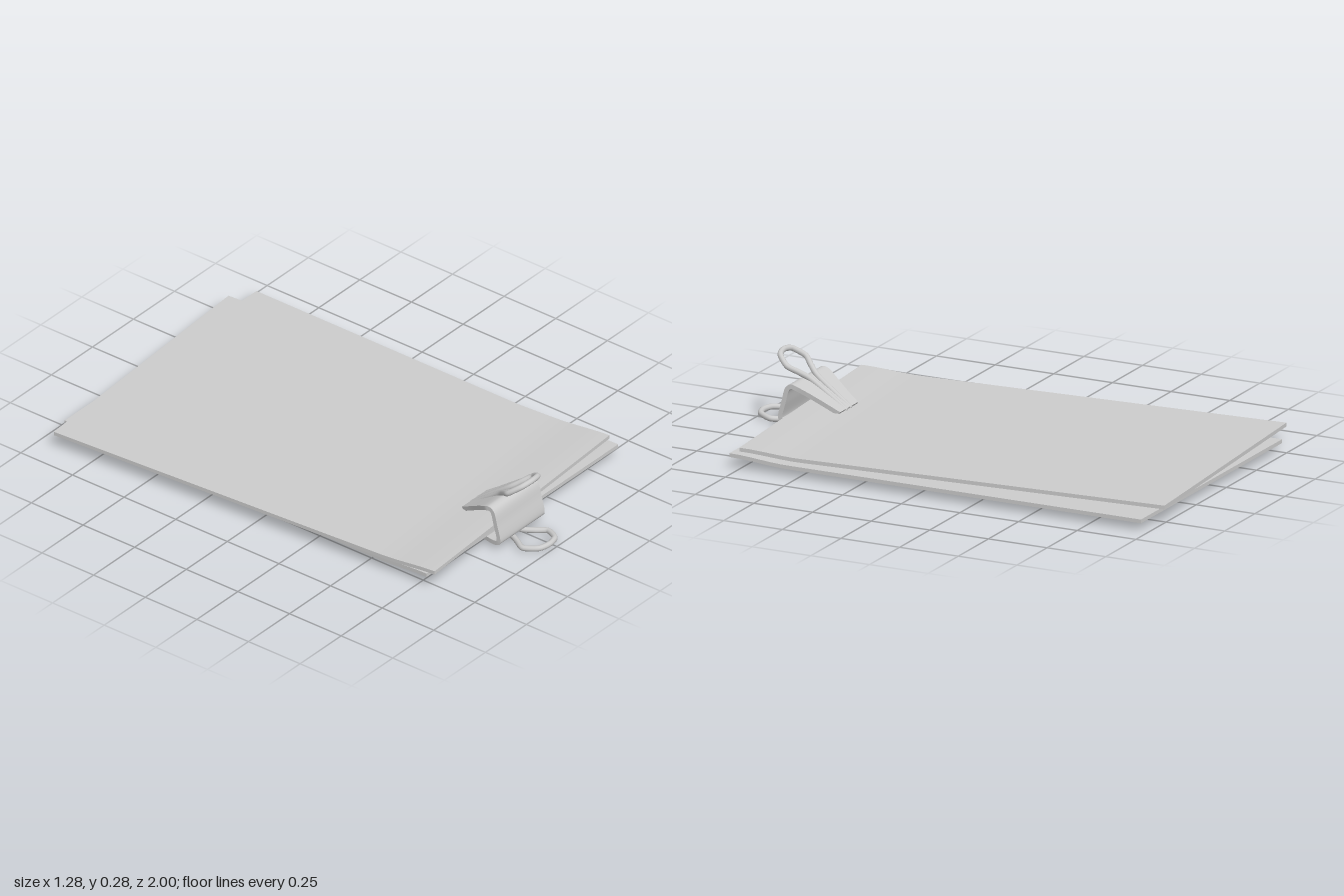
import * as THREE from 'three';

const material = new THREE.MeshStandardMaterial({ color: 0xcccccc });
const CLIP_X = -0.03;

function addMesh(parent, name, geometry) {
  const mesh = new THREE.Mesh(geometry, material);
  mesh.name = name;
  parent.add(mesh);
  return mesh;
}

// Flat board whose front end lifts gently towards the clip
function sheet(width, length, thickness, lift) {
  const geo = new THREE.BoxGeometry(width, thickness, length, 1, 1, 40);
  const pos = geo.attributes.position;
  for (let i = 0; i < pos.count; i++) {
    const t = THREE.MathUtils.smoothstep(pos.getZ(i), length / 2 - 0.25, length / 2);
    pos.setY(i, pos.getY(i) + lift * t);
  }
  geo.computeVertexNormals();
  return geo;
}

// Bent spring plate: a box swept along a side profile of (half width, y, z)
function springPlate(profile, thickness) {
  const curve = new THREE.CatmullRomCurve3(
    profile.map(p => new THREE.Vector3(...p)), false, 'centripetal');
  const geo = new THREE.BoxGeometry(2, thickness, 1, 1, 1, 64);
  const pos = geo.attributes.position;
  for (let i = 0; i < pos.count; i++) {
    const s = THREE.MathUtils.clamp(pos.getZ(i) + 0.5, 0, 1);
    const p = curve.getPoint(s);
    const t = curve.getTangent(s);
    const k = pos.getY(i) / Math.hypot(t.y, t.z);
    pos.setXYZ(i, pos.getX(i) * p.x, p.y + k * t.z, p.z - k * t.y);
  }
  geo.computeVertexNormals();
  return geo;
}

// Wire handle outline: [half width, fraction of the length]
const HANDLE = [[0.018, 0], [0.02, 0.25], [0.028, 0.53], [0.05, 0.66], [0.077, 0.79],
  [0.074, 0.84], [0.052, 0.95], [0.04, 0.975], [0, 1]];

// Wire bent along the outline, laid over a line from start to end ([y, z]) with a sag
function wireHandle(start, end, sag) {
  const place = ([hw, f], side) => new THREE.Vector3(
    side * hw,
    THREE.MathUtils.lerp(start[0], end[0], f) - sag * Math.sin(Math.PI * f),
    THREE.MathUtils.lerp(start[1], end[1], f));
  const points = [
    ...HANDLE.map(p => place(p, -1)),
    ...HANDLE.slice(0, -1).reverse().map(p => place(p, 1)),
  ];
  const curve = new THREE.CatmullRomCurve3(points, false, 'centripetal');
  const group = new THREE.Group();
  addMesh(group, 'wire', new THREE.TubeGeometry(curve, 120, 0.0115, 10));
  // Rounded wire ends
  for (const p of [points[0], points[points.length - 1]]) {
    addMesh(group, 'wireEnd', new THREE.SphereGeometry(0.0115, 10, 8)).position.copy(p);
  }
  return group;
}

export function createModel() {
  const model = new THREE.Group();
  model.name = 'clippedSheets';

  // Two sheets, the upper one turned slightly
  const lower = addMesh(model, 'lowerSheet', sheet(1.163, 1.757, 0.015, 0.014));
  lower.position.set(0.057, 0.0375, -0.089);
  lower.rotation.y = -0.003;
  const upper = addMesh(model, 'upperSheet', sheet(1.163, 1.757, 0.015, 0.014));
  upper.position.set(-0.005, 0.064, -0.0875);
  upper.rotation.y = 0.0655;

  // Binder clip
  const clip = new THREE.Group();
  clip.name = 'binderClip';
  clip.position.x = CLIP_X;
  model.add(clip);

  addMesh(clip, 'clipBody', springPlate([
    [0.075, 0.075, 0.628], [0.092, 0.107, 0.68], [0.116, 0.145, 0.74],
    [0.134, 0.17, 0.783], [0.135, 0.175, 0.8], [0.135, 0.166, 0.817],
    [0.135, 0.11, 0.834], [0.135, 0.055, 0.848], [0.135, 0.042, 0.847],
    [0.134, 0.034, 0.835], [0.128, 0.029, 0.8], [0.105, 0.025, 0.72], [0.077, 0.026, 0.64],
  ], 0.018));

  const top = wireHandle([0.078, 0.632], [0.274, 0.902], 0);
  top.name = 'upperHandle';
  const bottom = wireHandle([0.019, 0.645], [0.024, 0.988], 0.0095);
  bottom.name = 'lowerHandle';
  clip.add(top, bottom);

  return model;
}
